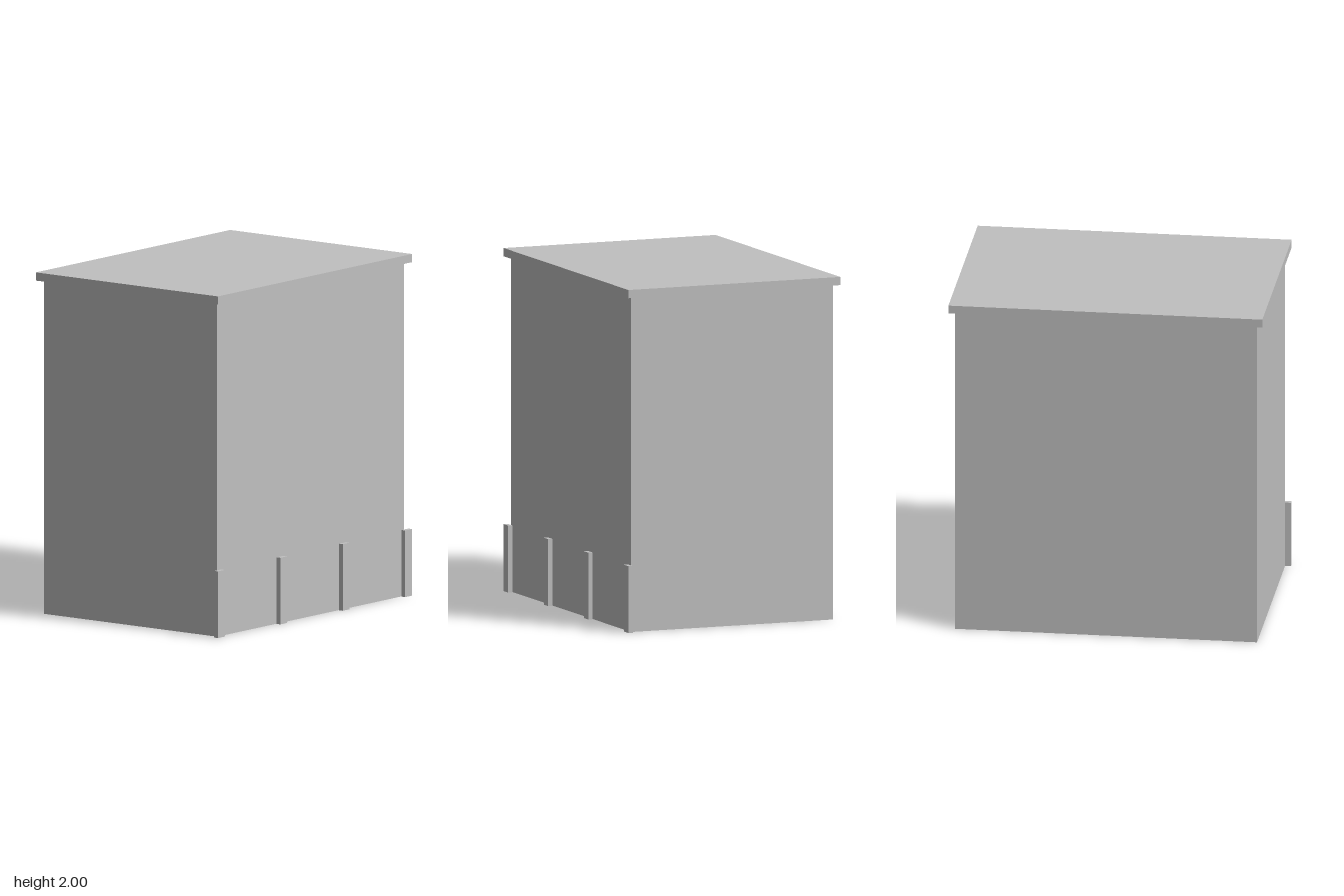
import * as THREE from 'three';

const grey = new THREE.MeshStandardMaterial({ color: 0xc0c0c0, side: THREE.DoubleSide });
grey.name = 'plain grey';

// Thin-walled box standing on y, without a floor and optionally without a top.
function openBox(name, width, height, depth, x, y, z, hasTop = true) {
  const geometry = new THREE.BoxGeometry(width, height, depth);
  // Faces come in the order +x, -x, +y, -y, +z, -z, six indices each.
  const faces = hasTop ? [0, 1, 2, 4, 5] : [0, 1, 4, 5];
  const all = Array.from(geometry.index.array);
  geometry.setIndex(faces.flatMap((f) => all.slice(f * 6, f * 6 + 6)));
  geometry.clearGroups();
  const mesh = new THREE.Mesh(geometry, grey);
  mesh.name = name;
  mesh.position.set(x, y + height / 2, z);
  return mesh;
}

export function createModel() {
  const model = new THREE.Group();
  model.name = 'building';

  // Hollow walls and the overhanging roof cap
  model.add(openBox('walls', 1.756, 1.952, 1.266, 0, 0, 0, false));
  model.add(openBox('roofCap', 1.826, 0.048, 1.33, 0, 1.952, 0));

  // Four evenly spaced posts along the front
  const posts = new THREE.Group();
  posts.name = 'frontPosts';
  for (let i = 0; i < 4; i++) {
    const x = (i - 1.5) * 0.587;
    posts.add(openBox('frontPost' + (i + 1), 0.065, 0.39, 0.027, x, 0, 0.6515));
  }
  model.add(posts);

  return model;
}
